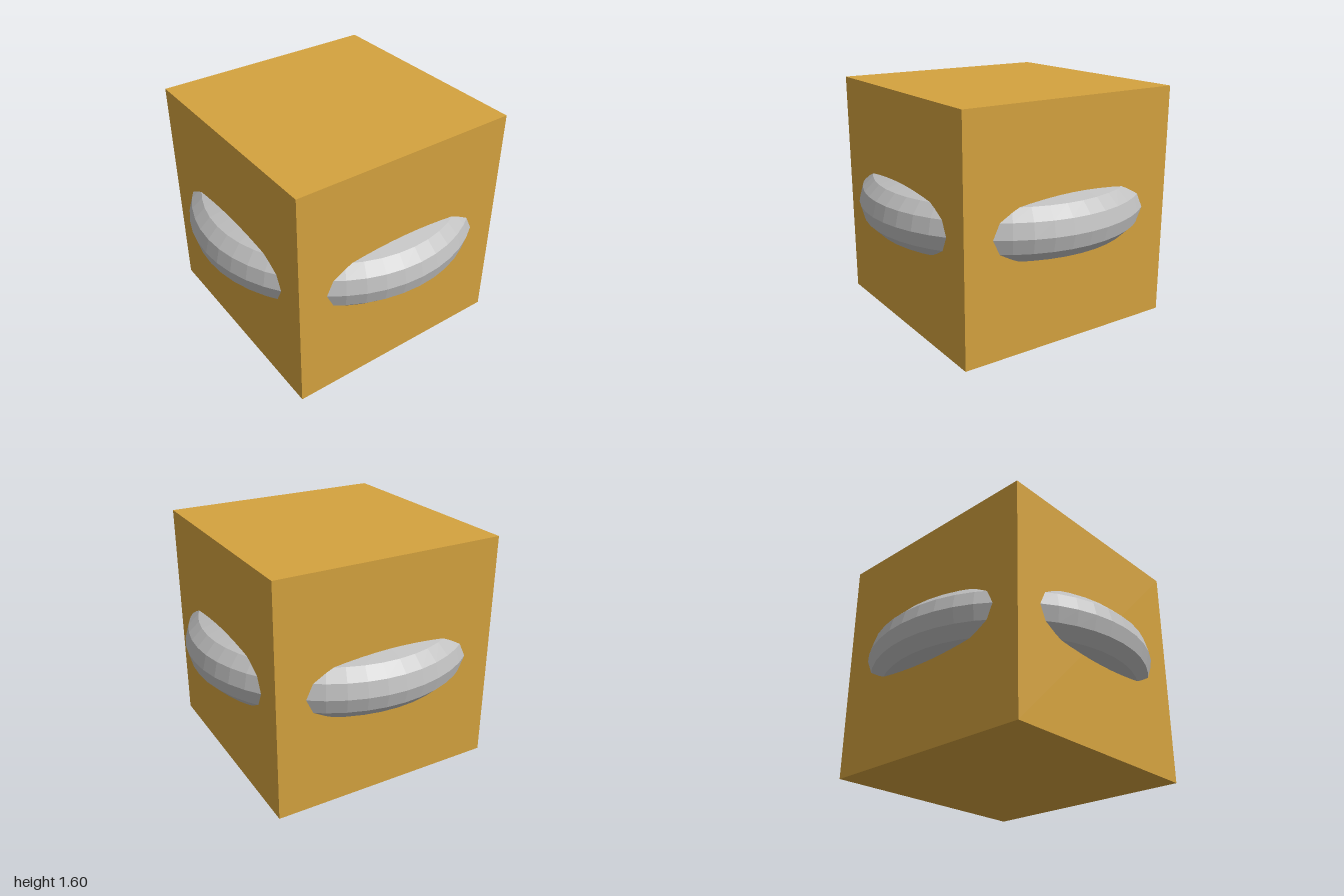
import * as THREE from 'three';

export function createModel() {
  const group = new THREE.Group();
  const gold = new THREE.MeshStandardMaterial({ color: 0xd4a23e, flatShading: true });
  gold.name = 'gold';
  const silver = new THREE.MeshStandardMaterial({ color: 0xc0c0c0, flatShading: true });
  silver.name = 'silver';

  const add = (name, geometry, material) => {
    const mesh = new THREE.Mesh(geometry, material);
    mesh.name = name;
    mesh.position.y = 0.8;
    group.add(mesh);
  };

  // Solid cube standing on the ground
  add('cube', new THREE.BoxGeometry(1.6, 1.6, 1.6), gold);

  // Horizontal faceted ring that emerges from the four sides
  add('ring', new THREE.TorusGeometry(0.8, 0.2, 12, 48).rotateX(Math.PI / 2), silver);

  return group;
}
